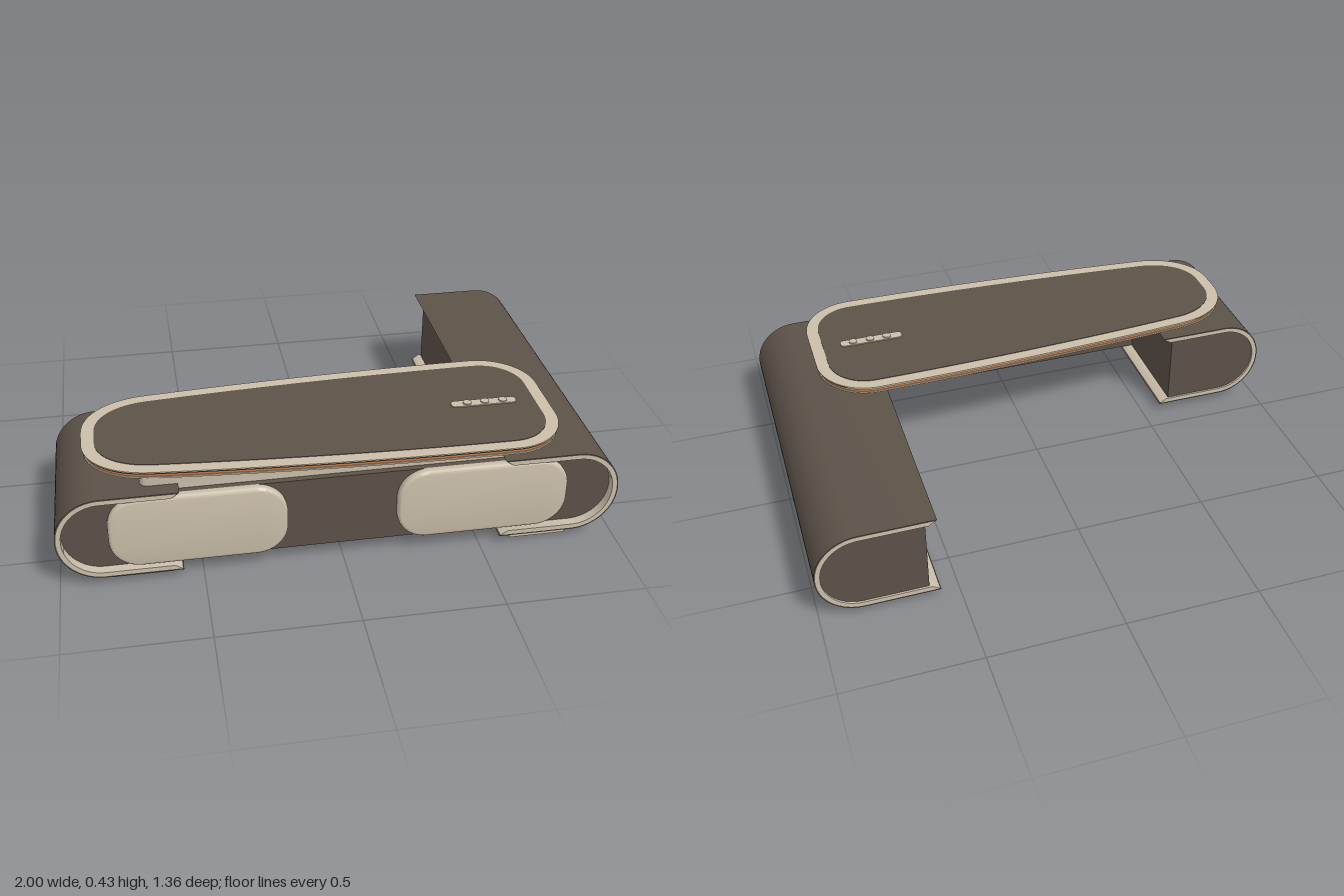
import * as THREE from 'three';
import { toCreasedNormals } from 'three/addons/utils/BufferGeometryUtils.js';

const mat = (name, color) => {
  const m = new THREE.MeshStandardMaterial({ color });
  m.name = name;
  return m;
};

export function createModel() {
  const root = new THREE.Group();
  root.name = 'counterDesk';
  const dark = mat('darkBrown', 0x5c5248);
  const cream = mat('cream', 0xcbbfab);
  const copper = mat('copper', 0xc87941);

  const add = (name, geo, material, parent = root) => {
    const mesh = new THREE.Mesh(geo, material);
    mesh.name = name;
    parent.add(mesh);
    return mesh;
  };
  const extrude = (shape, depth, bevel = 0) => toCreasedNormals(new THREE.ExtrudeGeometry(shape, {
    depth: depth - 2 * bevel, curveSegments: 20, bevelEnabled: bevel > 0,
    bevelSize: bevel, bevelThickness: bevel, bevelOffset: -bevel, bevelSegments: 3,
  }).translate(0, 0, bevel), 0.6);
  // Upright slab between two z values
  const upright = (name, shape, z0, z1, material, parent, bevel) =>
    add(name, extrude(shape, z1 - z0, bevel).translate(0, 0, z0), material, parent);
  // Flat plate between two heights, shape y becomes z
  const plate = (name, shape, y0, y1, material, parent) =>
    add(name, extrude(shape, y1 - y0).rotateX(Math.PI / 2).translate(0, y1, 0), material, parent);
  const box = (name, x0, x1, y0, y1, z0, z1, material, parent) =>
    add(name, new THREE.BoxGeometry(x1 - x0, y1 - y0, z1 - z0)
      .translate((x0 + x1) / 2, (y0 + y1) / 2, (z0 + z1) / 2), material, parent);

  const roundRect = (x0, x1, y0, y1, r) => {
    const s = new THREE.Shape();
    s.absarc(x1 - r, y0 + r, r, -Math.PI / 2, 0);
    s.absarc(x1 - r, y1 - r, r, 0, Math.PI / 2);
    s.absarc(x0 + r, y1 - r, r, Math.PI / 2, Math.PI);
    s.absarc(x0 + r, y0 + r, r, Math.PI, Math.PI * 1.5);
    s.closePath();
    return s;
  };

  // Points of a curve round the outer end, inset by d, ending at xEnd
  const R = 0.16;
  const endCurve = (side, d, xEnd) => {
    const pts = [[xEnd, 0.035 + d]];
    for (let i = 0; i <= 32; i++) {
      const a = -Math.PI / 2 + Math.PI * i / 32;
      const cy = i <= 16 ? 0.035 + R : 0.36 - R;
      pts.push([1 - R + Math.cos(a) * (R - d), cy + Math.sin(a) * (R - d)]);
      if (i === 16) pts.push([1 - d, 0.36 - R]);
    }
    pts.push([xEnd, 0.36 - d]);
    return pts.map(([x, y]) => new THREE.Vector2(side * x, y));
  };
  const band = (side, d0, x0, d1, x1) => new THREE.Shape(
    [...endCurve(side, d0, x0), ...endCurve(side, d1, x1).reverse()]);

  // Two wrapped arms: dark skin, cream liner, dark core, foot
  const arms = [
    { name: 'leftArm', side: 1, back: -0.68, coreEnd: 0.19, foot: [0.62, 0.83, -0.62, 0.64] },
    { name: 'rightArm', side: -1, back: 0.09, coreEnd: 0.52, foot: [-0.82, -0.61, 0.14, 0.63] },
  ];
  for (const { name, side, back, coreEnd, foot } of arms) {
    const arm = new THREE.Group();
    arm.name = name;
    root.add(arm);
    upright('outerSkin', band(side, 0, 0.57, 0.005, 0.575), back, 0.672, dark, arm);
    upright('liner', band(side, 0.005, 0.575, 0.021, 0.6), back, 0.672, cream, arm);
    upright('core', new THREE.Shape(endCurve(side, 0.0205, 0.61)), back + 0.008, coreEnd, dark, arm);
    box('foot', foot[0], foot[1], 0, 0.036, foot[2], foot[3], cream, arm);
  }

  // Front wall joining the arms
  upright('frontWall', roundRect(-0.979, 0.979, 0.058, 0.34, 0.139), 0.51, 0.638, dark);
  box('wallBackPanel', 0.61, 0.85, 0.06, 0.335, 0.503, 0.51, cream);
  box('topRail', -0.6, 0.6, 0.34, 0.362, 0.29, 0.615, cream);
  for (const x of [-0.51, 0.5]) {
    upright('frontPad', roundRect(x - 0.31, x + 0.31, 0.065, 0.342, 0.11), 0.63, 0.668, cream, root, 0.012);
  }

  // Pedestal under the tabletop
  plate('pedestal', roundRect(-0.7, 0.7, 0.285, 0.615, 0.03), 0.36, 0.392, cream);

  // Tapered tabletop outline, inset by d
  const topShape = (d) => {
    const s = new THREE.Shape();
    const l = -0.89 + d, r = 0.81 - d;
    s.moveTo(l, 0.4);
    s.lineTo(l, 0.33);
    s.bezierCurveTo(l, 0.21 + d * 0.6, -0.8 + d * 0.6, 0.12 + d, -0.66, 0.105 + d);
    s.bezierCurveTo(-0.25, 0.068 + d, 0.2, 0.045 + d, 0.61, 0.045 + d);
    s.bezierCurveTo(0.72 - d * 0.5, 0.045 + d, r, 0.14 + d * 0.5, r, 0.25);
    s.lineTo(r, 0.475);
    s.bezierCurveTo(r, 0.59 - d * 0.5, 0.72 - d * 0.5, 0.68 - d, 0.61, 0.68 - d);
    s.bezierCurveTo(0.2, 0.68 - d, -0.25, 0.657 - d, -0.66, 0.62 - d);
    s.bezierCurveTo(-0.8 + d * 0.6, 0.605 - d, l, 0.52 - d * 0.6, l, 0.4);
    return s;
  };
  const top = new THREE.Group();
  top.name = 'tabletop';
  root.add(top);
  plate('underside', topShape(0.004), 0.39, 0.396, cream, top);
  plate('copperBand', topShape(0.008), 0.396, 0.407, copper, top);
  plate('darkBand', topShape(0.004), 0.407, 0.412, dark, top);
  plate('rim', topShape(0), 0.412, 0.417, cream, top);
  plate('inlay', topShape(0.046), 0.415, 0.419, dark, top);

  // Small control strip with three round buttons
  plate('controlStrip', roundRect(0.45, 0.695, 0.345, 0.385, 0.015), 0.418, 0.423, cream, top);
  for (const x of [0.51, 0.577, 0.645]) {
    add('button', new THREE.CylinderGeometry(0.016, 0.016, 0.008, 24).translate(x, 0.424, 0.365), cream, top);
  }
  return root;
}
